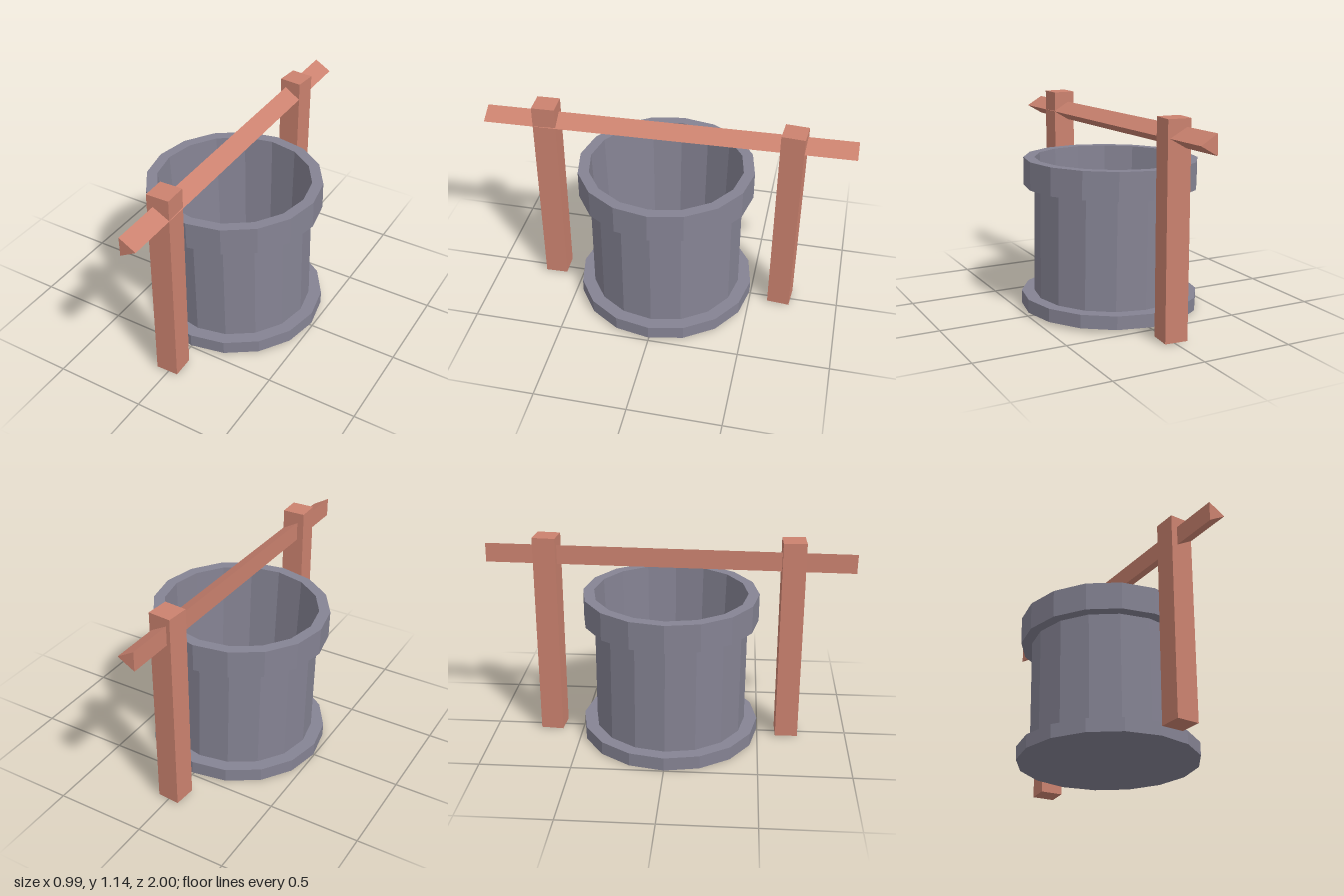
import * as THREE from 'three';

const stone = new THREE.MeshStandardMaterial({ color: 0x858393, flatShading: true });
const wood = new THREE.MeshStandardMaterial({ color: 0xcb826f, flatShading: true });

function add(parent, name, geometry, material) {
  const mesh = new THREE.Mesh(geometry, material);
  mesh.name = name;
  parent.add(mesh);
  return mesh;
}

// Sixteen-sided solid of revolution from [radius, height] pairs, bottom to top on the outside
function turned(points) {
  return new THREE.LatheGeometry(points.map(([r, y]) => new THREE.Vector2(r, y)), 16);
}

export function createModel() {
  const model = new THREE.Group();
  model.name = 'well';

  // Hollow stone shaft, leaning very slightly
  const shaft = new THREE.Group();
  shaft.name = 'shaft';
  shaft.position.y = 0.012;
  shaft.rotation.set(0.006, 0, 0.018);
  model.add(shaft);
  add(shaft, 'base', turned([[0, 0], [0.495, 0], [0.495, 0.074], [0, 0.074]]), stone);
  add(shaft, 'outerWall', turned([[0.423, 0.074], [0.423, 0.68]]), stone);
  add(shaft, 'rim', turned([[0.423, 0.68], [0.483, 0.68], [0.483, 0.833], [0.423, 0.833]]), stone);
  add(shaft, 'innerWall', turned([[0.423, 0.833], [0.395, 0.074]]), stone);

  // Two square posts, each turned a little
  for (const [name, z, yaw] of [['frontPost', 0.663, 0.03], ['backPost', -0.672, -0.08]]) {
    const post = add(model, name, new THREE.BoxGeometry(0.125, 1.137, 0.125), wood);
    post.position.set(-0.007, 0.578, z);
    post.rotation.y = yaw;
  }

  // Three-sided crossbar, its ridge towards +x, rising to the back
  const barGeometry = new THREE.CylinderGeometry(0.061, 0.061, 2, 3, 1, false, Math.PI / 2);
  barGeometry.rotateX(Math.PI / 2);
  const bar = add(model, 'crossbar', barGeometry, wood);
  bar.position.set(-0.007, 1.042, 0);
  bar.rotation.set(0.013, 0.0065, 0);

  return model;
}
